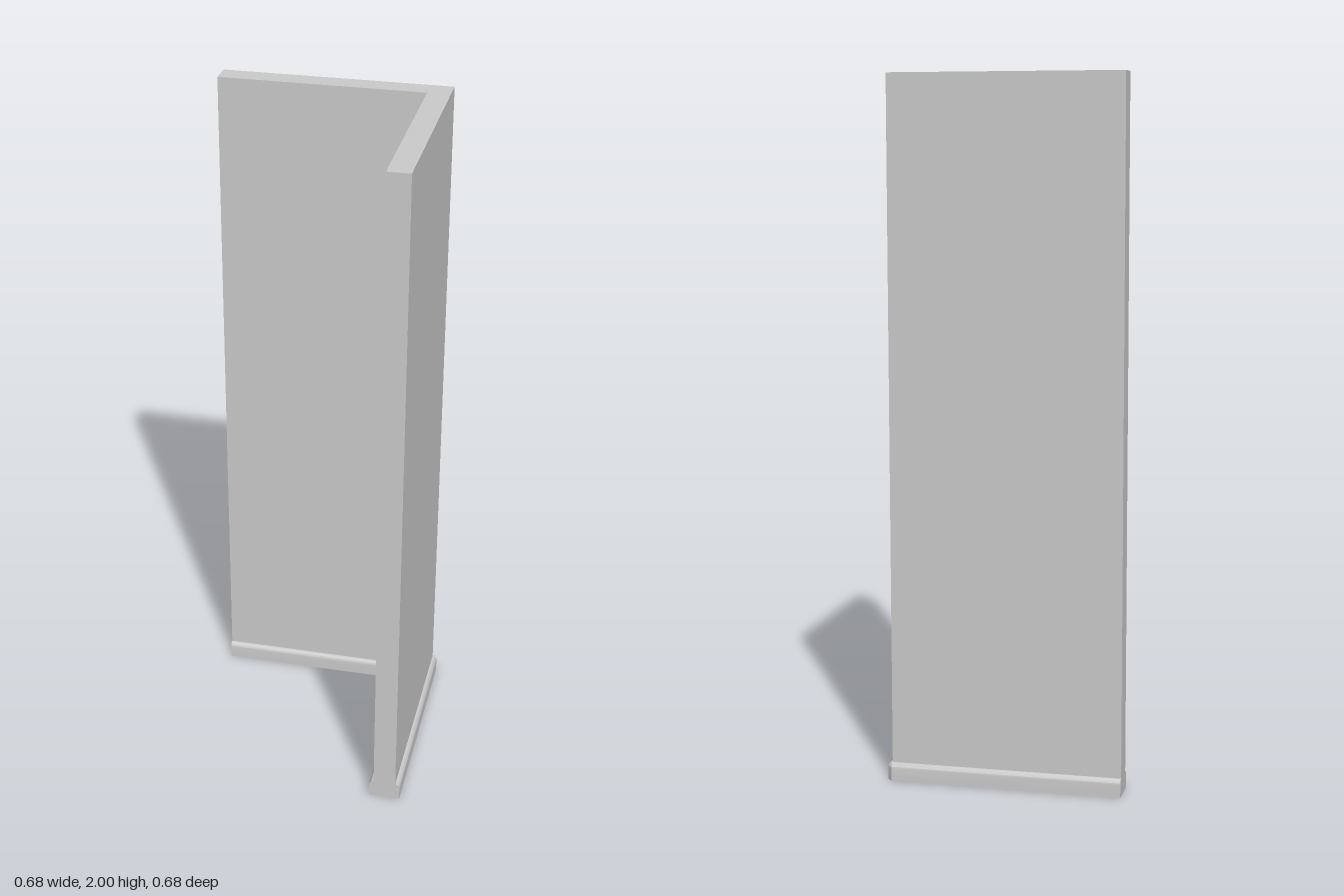
import * as THREE from 'three';
import { toCreasedNormals } from 'three/addons/utils/BufferGeometryUtils.js';

const END = 0.339, OUTER = 0.326, INNER = 0.26, HEIGHT = 2;

// Skirting cross-section: [distance from wall, height], top to bottom
const PROFILE = [[0, 0.052], [0.004, 0.0515], [0.008, 0.049], [0.011, 0.046], [0.0125, 0.042], [0.013, 0.037], [0.013, 0], [0, 0]];

// Sweeps the profile along stations [x, z, offsetX, offsetZ]
function sweepSkirting(stations) {
  const at = ([x, z, nx, nz], [d, y]) => [x + nx * d, y, z + nz * d];
  const pos = [];
  const tri = (a, b, c) => pos.push(...a, ...b, ...c);
  for (let i = 0; i < stations.length - 1; i++) {
    for (let k = 0; k < PROFILE.length - 1; k++) {
      const a = at(stations[i], PROFILE[k]), b = at(stations[i + 1], PROFILE[k]);
      const c = at(stations[i + 1], PROFILE[k + 1]), d = at(stations[i], PROFILE[k + 1]);
      tri(a, d, b);
      tri(b, d, c);
    }
  }
  // End caps
  const first = PROFILE.map(p => at(stations[0], p));
  const last = PROFILE.map(p => at(stations[stations.length - 1], p));
  for (let k = 1; k < PROFILE.length - 1; k++) {
    tri(first[0], first[k + 1], first[k]);
    tri(last[0], last[k], last[k + 1]);
  }
  const g = new THREE.BufferGeometry();
  g.setAttribute('position', new THREE.Float32BufferAttribute(pos, 3));
  return toCreasedNormals(g, Math.PI / 5);
}

export function createModel() {
  const group = new THREE.Group();
  const material = new THREE.MeshStandardMaterial({ color: 0xcccccc });
  const add = (name, geometry) => {
    const mesh = new THREE.Mesh(geometry, material);
    mesh.name = name;
    group.add(mesh);
  };

  // L-shaped corner wall, drawn in plan and raised
  const plan = new THREE.Shape([
    [-END, INNER], [INNER, INNER], [INNER, -END], [OUTER, -END], [OUTER, OUTER], [-END, OUTER],
  ].map(([x, y]) => new THREE.Vector2(x, y)));
  const wall = new THREE.ExtrudeGeometry(plan, { depth: HEIGHT, bevelEnabled: false });
  wall.rotateX(-Math.PI / 2);
  add('cornerWall', wall);

  // Inner skirting with a mitred corner
  add('innerSkirting', sweepSkirting([
    [-END, -INNER, 0, 1], [INNER, -INNER, -1, 1], [INNER, END, -1, 0],
  ]));

  // Outer skirting with a cut-off corner
  add('outerSkirting', sweepSkirting([
    [OUTER, END, 1, 0], [OUTER, -OUTER, 1, 0], [OUTER, -OUTER, 0, -1], [-END, -OUTER, 0, -1],
  ]));

  return group;
}
